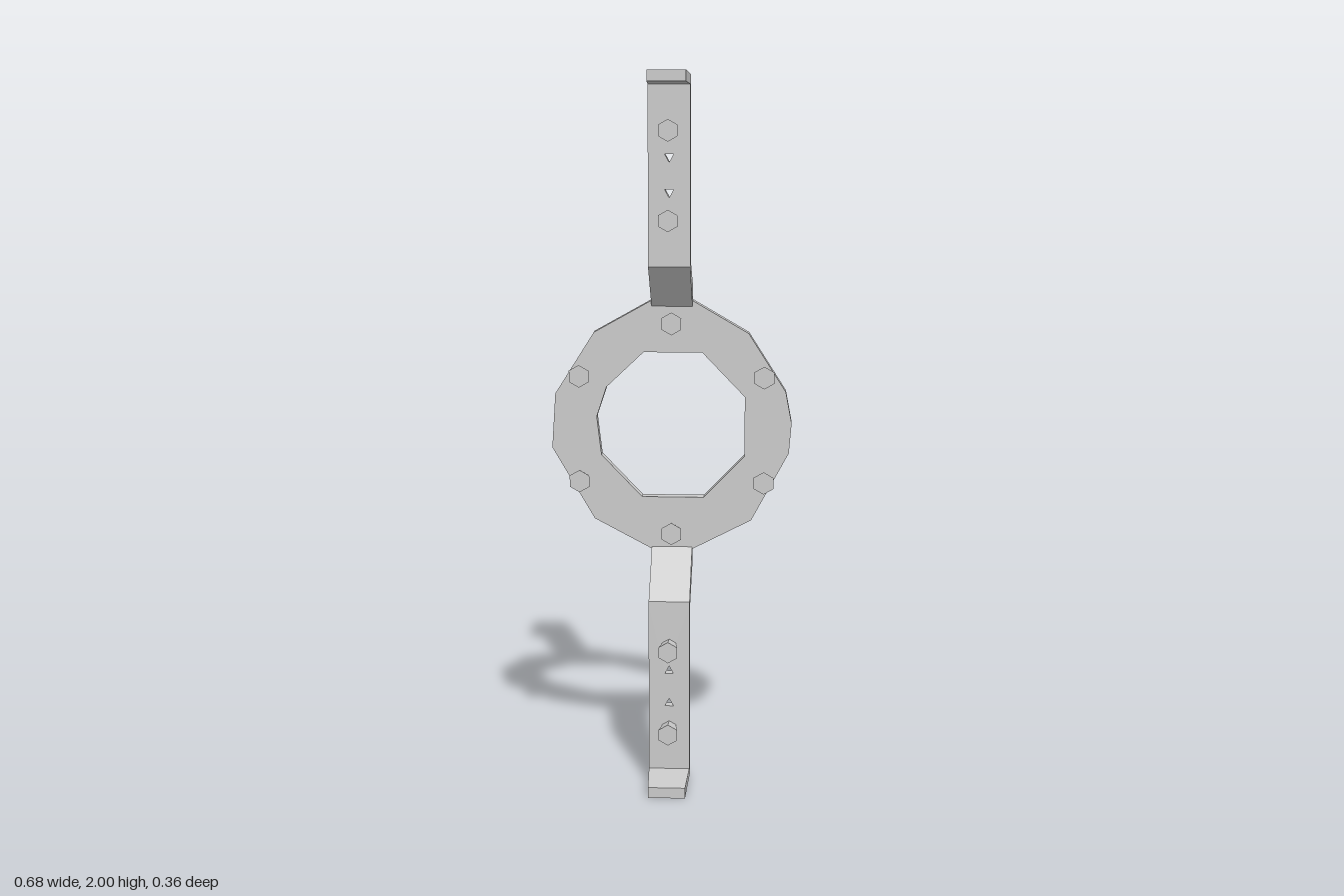
import * as THREE from 'three';

const material = new THREE.MeshStandardMaterial({ color: 0xcccccc, flatShading: true });
const points = (list) => list.map(([x, y]) => new THREE.Vector2(x, y));
const ARM_WIDTH = 0.115;

function add(parent, name, geometry) {
  const mesh = new THREE.Mesh(geometry, material);
  mesh.name = name;
  parent.add(mesh);
  return mesh;
}

// Flat plate extruded along z from z0 to z1
function plate(shape, z0, z1) {
  const g = new THREE.ExtrudeGeometry(shape, { depth: z1 - z0, bevelEnabled: false });
  return g.translate(0, 0, z0);
}

// Side profile given as (z, y), extruded across the arm width
function sideProfile(list) {
  const g = new THREE.ExtrudeGeometry(new THREE.Shape(points(list)), { depth: ARM_WIDTH, bevelEnabled: false });
  return g.rotateY(-Math.PI / 2).translate(ARM_WIDTH / 2, 0, 0);
}

// Tapered six-sided peg running along z from z0 (radius r0) to z1 (radius r1)
function peg(parent, name, x, y, z0, z1, r0, r1) {
  const g = new THREE.CylinderGeometry(r1, r0, z1 - z0, 6).rotateX(Math.PI / 2);
  add(parent, name, g).position.set(x, y, (z0 + z1) / 2);
}

// One arm, with y measured from the ring centre
function makeArm() {
  const arm = new THREE.Group();
  const w = ARM_WIDTH / 2;

  // Upright strip with two small triangular holes
  const strip = new THREE.Shape(points([[-w, 0.485], [w, 0.485], [w, 0.96], [-w, 0.96]]));
  for (const y of [0.67, 0.765]) {
    strip.holes.push(new THREE.Path(points([[-0.012, y + 0.009], [0.012, y + 0.009], [0, y - 0.013]])));
  }
  add(arm, 'armStrip', plate(strip, 0.02, 0.05));

  // Sloped link back to the ring
  add(arm, 'armSlope', sideProfile([
    [0.05, 0.485], [0.05, 0.47], [-0.088, 0.345], [-0.122, 0.345], [-0.119, 0.395], [0.02, 0.485],
  ]));

  // Hooked end, slightly narrower at its tip
  const hook = sideProfile([[0.02, 0.96], [0.05, 0.96], [0.18, 0.97], [0.18, 1], [0.02, 0.985]]);
  const p = hook.attributes.position;
  for (let i = 0; i < p.count; i++) if (p.getZ(i) > 0.1) p.setX(i, p.getX(i) * 0.9);
  hook.computeVertexNormals();
  add(arm, 'endHook', hook);

  // Pegs on the front of the strip
  for (const y of [0.6, 0.84]) peg(arm, 'armPeg', 0, y, 0.045, 0.112, 0.021, 0.03);
  return arm;
}

export function createModel() {
  const model = new THREE.Group();
  model.name = 'ringBracket';
  const body = new THREE.Group();
  body.name = 'bracketBody';
  body.position.y = 1;
  model.add(body);

  // Faceted ring with an uneven outline
  const ring = new THREE.Shape(points([
    [-0.06, 0.36], [-0.22, 0.27], [-0.33, 0.095], [-0.34, -0.06], [-0.22, -0.265], [-0.06, -0.35],
    [0.06, -0.35], [0.225, -0.265], [0.33, -0.07], [0.337, 0.015], [0.32, 0.105], [0.215, 0.27], [0.06, 0.36],
  ]));
  ring.holes.push(new THREE.Path(points([
    [-0.08, 0.215], [0.085, 0.215], [0.205, 0.09], [0.205, -0.08], [0.09, -0.2],
    [-0.085, -0.2], [-0.2, -0.08], [-0.213, 0.03], [-0.185, 0.115],
  ])));
  add(body, 'ring', plate(ring, -0.122, -0.088));

  // Six pegs through the ring, flared in front and tapered behind
  for (let i = 0; i < 6; i++) {
    const a = Math.PI / 6 + (i * Math.PI) / 3;
    const x = 0.3 * Math.cos(a), y = 0.3 * Math.sin(a);
    peg(body, 'ringFrontPeg', x, y, -0.092, -0.053, 0.022, 0.032);
    peg(body, 'ringBackPeg', x, y, -0.178, -0.118, 0.018, 0.023);
  }

  // The lower arm is the upper one turned half round
  const upper = makeArm();
  upper.name = 'upperArm';
  const lower = makeArm();
  lower.name = 'lowerArm';
  lower.rotation.z = Math.PI;
  body.add(upper, lower);
  return model;
}
